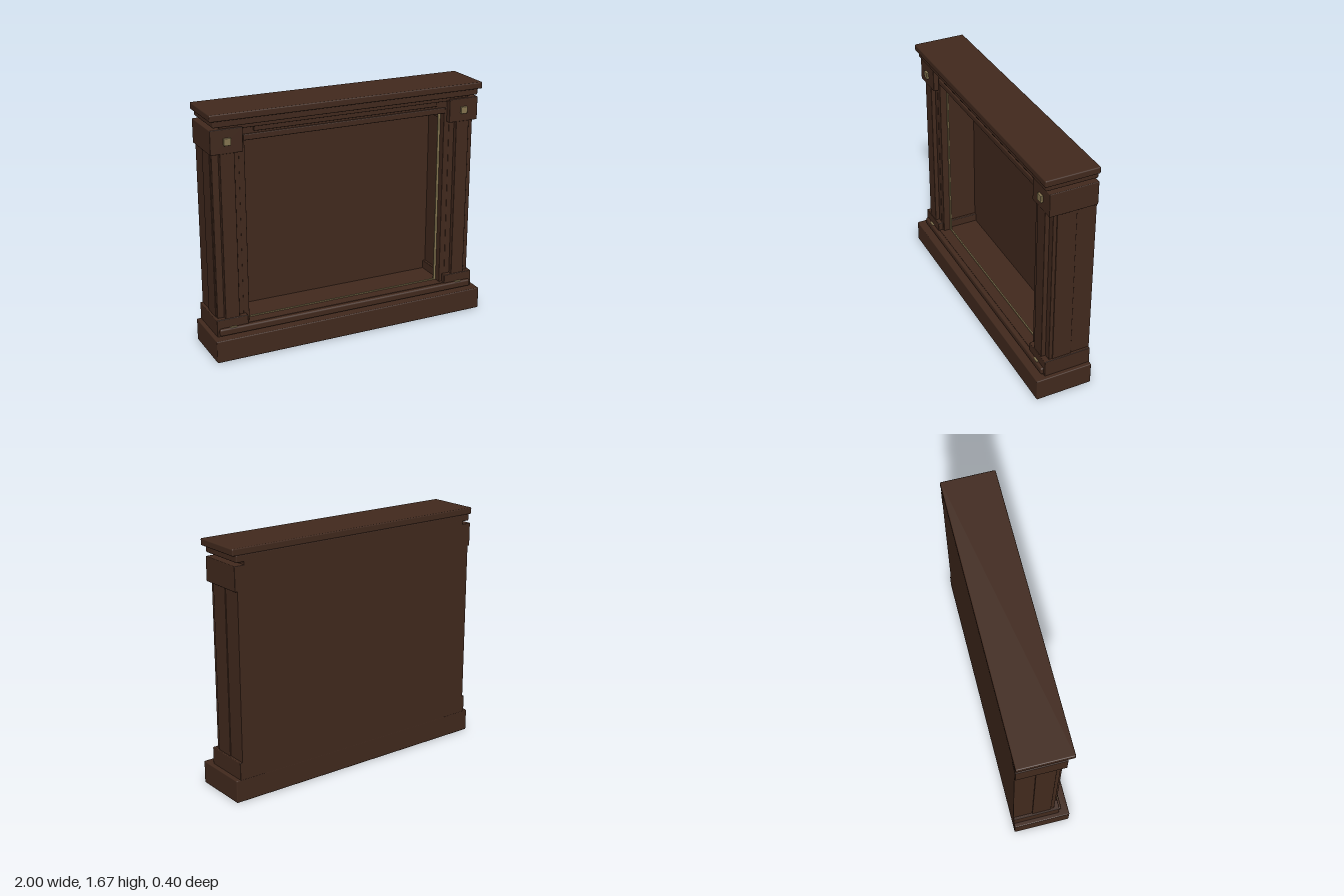
import * as THREE from 'three';
import { RoundedBoxGeometry } from 'three/addons/geometries/RoundedBoxGeometry.js';

export function createModel() {
  const model = new THREE.Group();
  model.name = 'fireplaceSurround';

  const wood = new THREE.MeshStandardMaterial({ color: 0x41291d });
  wood.name = 'dark walnut';
  const brass = new THREE.MeshStandardMaterial({ color: 0x857550 });
  brass.name = 'aged brass';

  // Box given by its limits on each axis; r softens the edges
  function box(name, [x0, x1], [y0, y1], [z0, z1], material = wood, r = 0.005, parent = model) {
    const size = [x1 - x0, y1 - y0, z1 - z0];
    const geometry = r > 0 ? new RoundedBoxGeometry(...size, 2, r) : new THREE.BoxGeometry(...size);
    const mesh = new THREE.Mesh(geometry, material);
    mesh.position.set((x0 + x1) / 2, (y0 + y1) / 2, (z0 + z1) / 2);
    mesh.name = name;
    parent.add(mesh);
    return mesh;
  }

  const back = -0.2;

  // Base and the moulding standing on it
  box('base', [-1, 1], [0, 0.155], [back, 0.2], wood, 0.007);
  box('baseMoulding', [-0.955, 0.955], [0.16, 0.21], [0.11, 0.15], wood, 0.012);
  box('hearthFloor', [-0.76, 0.76], [0.15, 0.213], [back + 0.01, 0.12], wood, 0);

  // Thin back of the firebox
  box('backPanel', [-0.78, 0.78], [0.15, 1.59], [back, -0.18], wood, 0);

  // Pilasters, mirrored left and right; their inner faces line the firebox
  for (const side of [1, -1]) {
    const pilaster = new THREE.Group();
    pilaster.name = side > 0 ? 'leftPilaster' : 'rightPilaster';
    model.add(pilaster);
    const part = (name, xs, ys, zs, material, r) =>
      box(name, side > 0 ? xs : [-xs[1], -xs[0]], ys, zs, material, r, pilaster);

    part('plinth', [0.75, 0.97], [0.15, 0.272], [back, 0.13]);
    part('shaftRear', [0.768, 0.952], [0.26, 1.41], [back, -0.06], wood, 0);
    part('shaft', [0.768, 0.958], [0.26, 1.41], [-0.065, 0.07], wood, 0.003);
    part('shaftFront', [0.768, 0.953], [0.26, 1.41], [0.06, 0.095], wood, 0.003);
    part('shaftFace', [0.808, 0.907], [0.26, 1.41], [0.085, 0.126], wood, 0.004);
    part('capitalBlock', [0.75, 0.97], [1.4, 1.562], [back, 0.13]);
    part('capitalStud', [0.834, 0.882], [1.456, 1.504], [0.12, 0.145], brass, 0.003);
    part('plinthStud', [0.834, 0.882], [0.165, 0.213], [0.12, 0.145], brass, 0.003);
    part('stile', [0.728, 0.772], [0.2, 1.5], [0.03, 0.093], wood, 0.003);
  }

  // Frieze, its raised panel and the rail over the opening
  box('frieze', [-0.76, 0.76], [1.49, 1.585], [back + 0.01, 0.09], wood, 0);
  box('friezePanel', [-0.665, 0.665], [1.517, 1.577], [0.07, 0.103], wood, 0.004);
  box('openingRail', [-0.735, 0.735], [1.461, 1.502], [0.03, 0.1], wood, 0.006);

  // Brass trim framing the opening
  const trim = new THREE.Shape();
  trim.moveTo(-0.73, 0.208).lineTo(0.73, 0.208).lineTo(0.73, 1.463).lineTo(-0.73, 1.463).closePath();
  const hole = new THREE.Path();
  hole.moveTo(-0.711, 0.221).lineTo(-0.711, 1.449).lineTo(0.711, 1.449).lineTo(0.711, 0.221).closePath();
  trim.holes.push(hole);
  const trimMesh = new THREE.Mesh(
    new THREE.ExtrudeGeometry(trim, { depth: 0.009, bevelEnabled: false }), brass);
  trimMesh.position.z = 0.036;
  trimMesh.name = 'openingTrim';
  model.add(trimMesh);

  // Stepped mantel shelf
  box('mantelNeck', [-0.9, 0.9], [1.55, 1.59], [back, 0.115], wood, 0.003);
  box('mantelMoulding', [-0.955, 0.955], [1.58, 1.628], [back, 0.15], wood, 0.008);
  box('mantelShelf', [-0.98, 0.98], [1.624, 1.67], [back, 0.168], wood, 0.008);

  return model;
}
